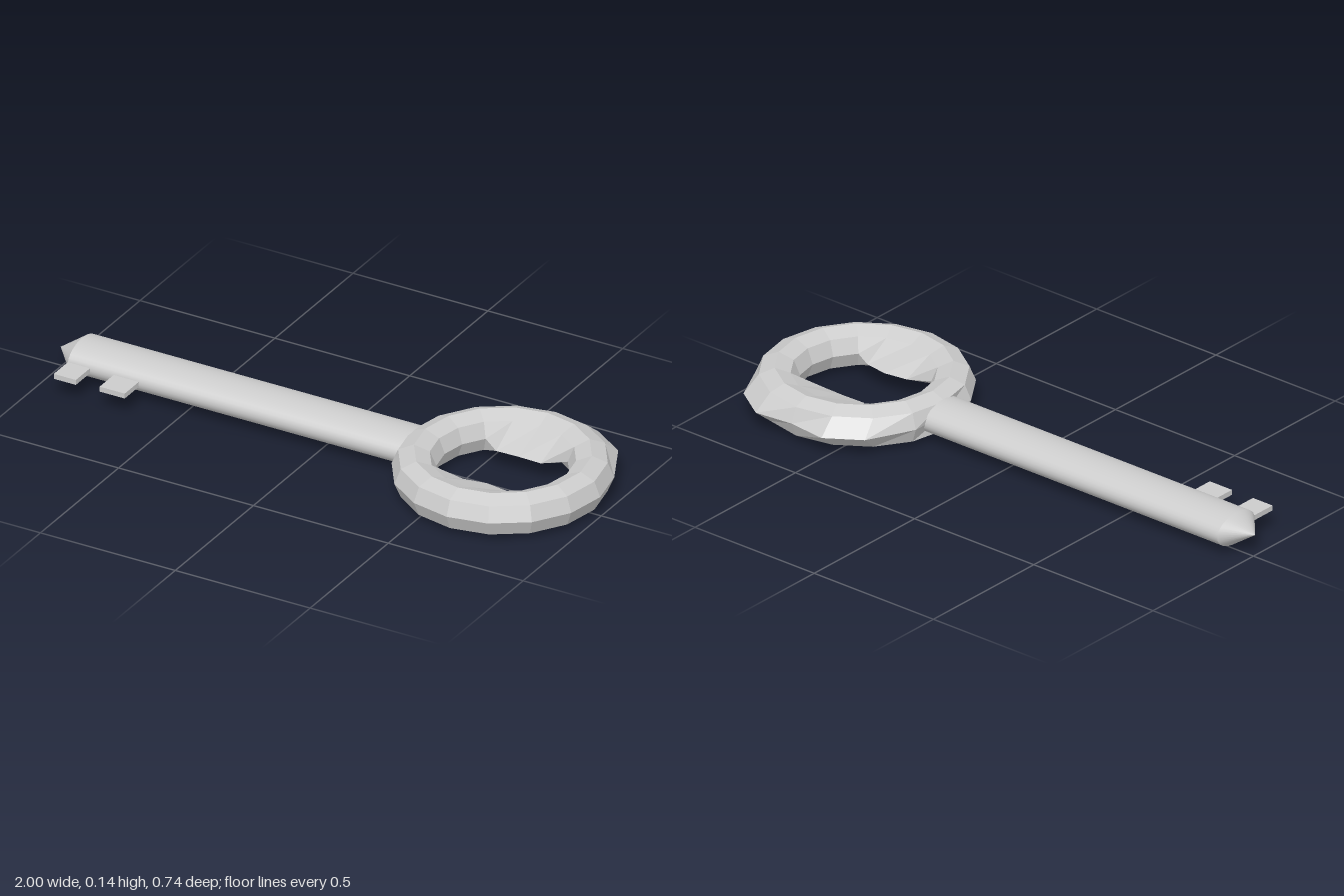
import * as THREE from 'three';

const CY = 0.073, CZ = 0.008; // height and depth of the key's axis
const RING_X = 0.64, RING_R = 0.288, TUBE = 0.0725;

// Faceted ring whose equator is pulled about by hand
function ringGeometry() {
  const g = new THREE.TorusGeometry(RING_R, TUBE, 8, 16).rotateX(Math.PI / 2);
  const p = g.attributes.position;
  for (let i = 0; i < p.count; i++) {
    const x = p.getX(i), z = p.getZ(i);
    if (Math.abs(p.getY(i)) > 0.001) continue; // only the inner and outer equators move
    const ax = Math.abs(x);
    if (Math.hypot(x, z) < RING_R) {
      // Inner ledges reach into the hole at the front and the back
      if (ax < 0.1) p.setZ(i, z - Math.sign(z) * (ax < 0.02 ? 0.114 : z < 0 ? 0.1 : 0.085));
    } else if (z < -0.2 && ax > 0.1) {
      // Two shoulders flare outward at the back
      p.setZ(i, z - 0.043);
    } else if (x < -0.35) {
      // Flattened where the shaft joins
      p.setX(i, -0.333);
    }
  }
  const flat = g.toNonIndexed();
  flat.computeVertexNormals();
  return flat;
}

export function createModel() {
  const model = new THREE.Group();
  const material = new THREE.MeshStandardMaterial({ color: 0xcccccc });
  const flatMaterial = new THREE.MeshStandardMaterial({ color: 0xcccccc, flatShading: true });

  const add = (name, geometry, x, z, mat = material) => {
    const mesh = new THREE.Mesh(geometry, mat);
    mesh.name = name;
    mesh.position.set(x, CY, z);
    model.add(mesh);
    return mesh;
  };

  // Ring handle
  add('ringHandle', ringGeometry(), RING_X, CZ, flatMaterial);

  // Oval shaft, running into the ring
  const x0 = -0.92, x1 = 0.33;
  const shaft = new THREE.CylinderGeometry(1, 1, x1 - x0, 32).rotateZ(Math.PI / 2).scale(1, 0.055, 0.093);
  add('shaft', shaft, (x0 + x1) / 2, CZ);

  // Pointed tip
  const tip = new THREE.ConeGeometry(1, 0.08, 32, 1, true).rotateZ(Math.PI / 2).scale(1, 0.055, 0.093);
  add('tip', tip, -0.96, CZ);

  // Two flat teeth
  [[-0.92, -0.838], [-0.75, -0.657]].forEach(([a, b], i) => {
    add(`tooth${i + 1}`, new THREE.BoxGeometry(b - a, 0.018, 0.14), (a + b) / 2, 0.12);
  });

  return model;
}
